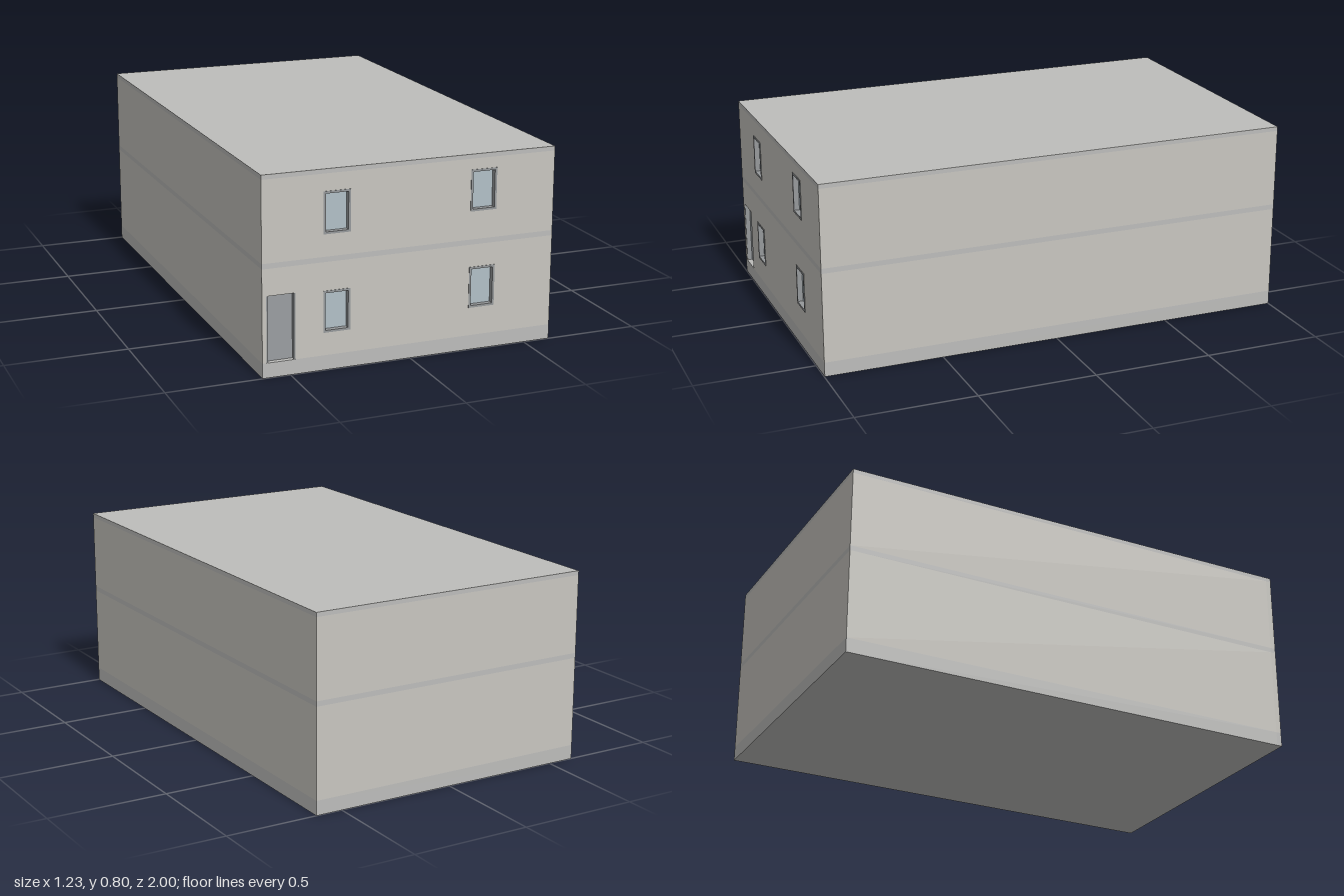
import * as THREE from 'three';

const W = 0.613, FRONT = 0.998, RECESS = 0.024, BACK = -1;
const mat = (color) => new THREE.MeshStandardMaterial({ color });
const wallMat = mat(0xc8c6c0), bandMat = mat(0xbdbdbb), frameMat = mat(0x96999b);
const glassMat = mat(0xb2c0c7), doorMat = mat(0x9a9ea1);

// Rectangle outline, usable as a shape or a hole
function rect(Kind, x0, x1, y0, y1) {
  return new Kind([[x0, y0], [x1, y0], [x1, y1], [x0, y1]].map(([x, y]) => new THREE.Vector2(x, y)));
}

function extrude(name, shape, z0, z1, material) {
  const geo = new THREE.ExtrudeGeometry(shape, { depth: z1 - z0, bevelEnabled: false });
  geo.translate(0, 0, z0);
  const mesh = new THREE.Mesh(geo, material);
  mesh.name = name;
  return mesh;
}

// One horizontal layer: a solid core with a pierced front wall
function storey(name, y0, y1, material, openings = [], door = null) {
  const group = new THREE.Group();
  group.name = name;
  const zc = FRONT - RECESS;
  group.add(extrude(name + 'Core', rect(THREE.Shape, -W, W, y0, y1), BACK, zc, material));
  const outline = new THREE.Shape();
  outline.moveTo(-W, y0);
  if (door) {
    outline.lineTo(door.x0, y0);
    outline.lineTo(door.x0, door.y1);
    outline.lineTo(door.x1, door.y1);
    outline.lineTo(door.x1, y0);
  }
  outline.lineTo(W, y0);
  outline.lineTo(W, y1);
  outline.lineTo(-W, y1);
  outline.closePath();
  for (const o of openings) outline.holes.push(rect(THREE.Path, o.x0, o.x1, o.y0, o.y1));
  group.add(extrude(name + 'FrontWall', outline, zc, FRONT, material));
  return group;
}

// Thin projecting frame around a recessed pane
function windowUnit({ x0, x1, y0, y1 }) {
  const group = new THREE.Group();
  group.name = 'window';
  const t = 0.009, zc = FRONT - RECESS;
  const ring = rect(THREE.Shape, x0, x1, y0, y1);
  ring.holes.push(rect(THREE.Path, x0 + t, x1 - t, y0 + t, y1 - t));
  group.add(extrude('windowFrame', ring, zc, 1, frameMat));
  group.add(extrude('windowGlass', rect(THREE.Shape, x0 + t, x1 - t, y0 + t, y1 - t), zc, zc + 0.004, glassMat));
  return group;
}

export function createModel() {
  const model = new THREE.Group();
  model.name = 'house';
  const opening = (x0, y0) => ({ x0, x1: x0 + 0.111, y0, y1: y0 + 0.168 });
  const lower = [opening(-0.365, 0.152), opening(0.25, 0.175)];
  const upper = [opening(-0.365, 0.545), opening(0.25, 0.57)];
  const door = { x0: -0.596, x1: -0.478, y0: 0.06, y1: 0.327 };

  // Layers from the ground up
  model.add(storey('plinth', 0, 0.06, bandMat));
  model.add(storey('groundFloor', 0.06, 0.435, wallMat, lower, door));
  model.add(storey('floorBand', 0.435, 0.456, bandMat));
  model.add(storey('upperFloor', 0.456, 0.782, wallMat, upper));
  model.add(storey('roofSlab', 0.782, 0.8, bandMat));

  for (const o of [...lower, ...upper]) model.add(windowUnit(o));

  // Recessed door leaf with side jambs
  const zc = FRONT - RECESS, t = 0.006;
  model.add(extrude('door', rect(THREE.Shape, door.x0 + t, door.x1 - t, door.y0, door.y1), zc, zc + 0.003, doorMat));
  for (const x of [door.x0, door.x1 - t])
    model.add(extrude('doorJamb', rect(THREE.Shape, x, x + t, door.y0, door.y1), zc, FRONT - 0.001, frameMat));
  return model;
}
